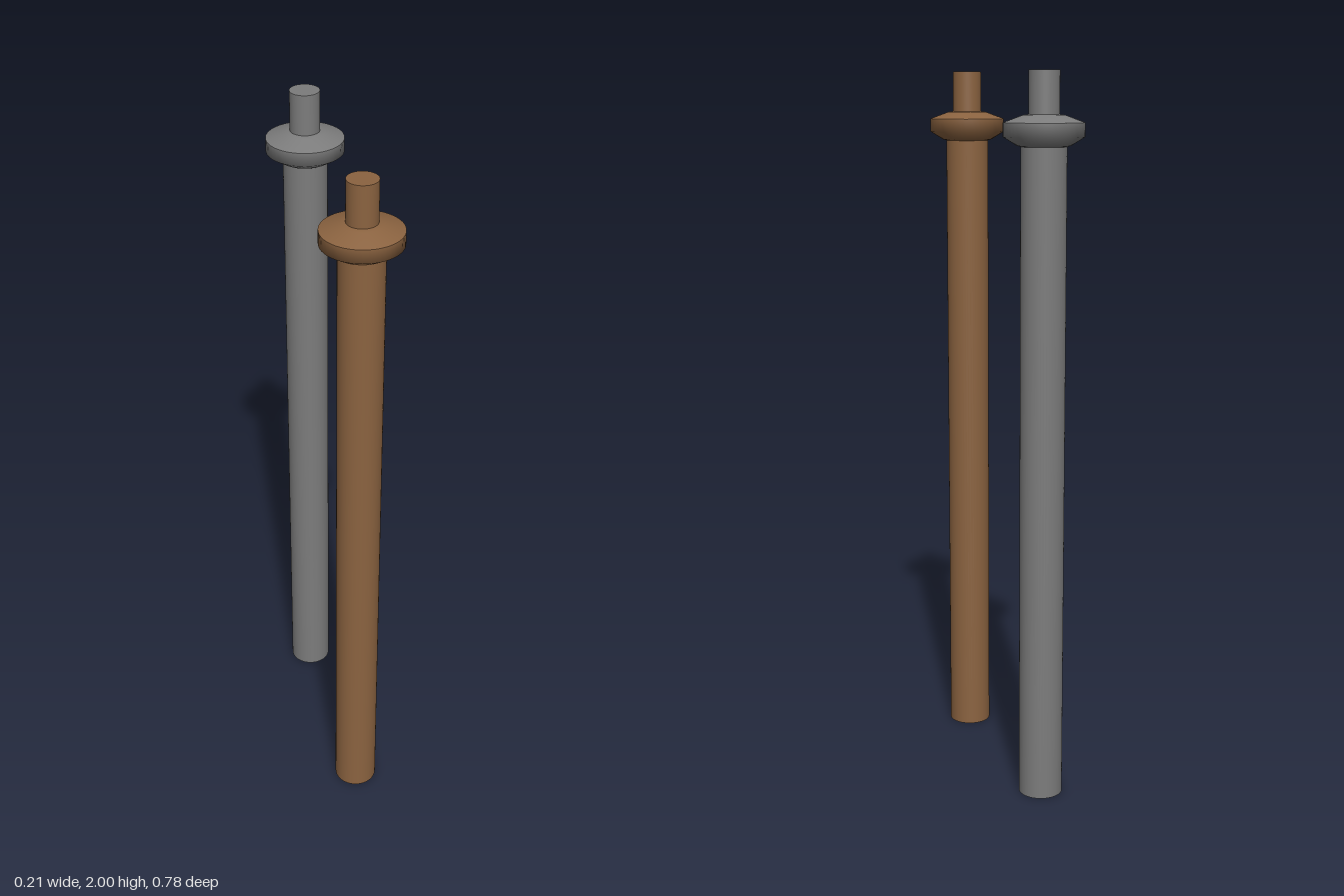
import * as THREE from 'three';

// Lathe runs from bottom to top; each run is smooth, edges between runs are sharp
const runs = {
  shaft: [[0.061, 0], [0.061, 1.805]],
  collarUnderside: [[0.061, 1.805], [0.072, 1.808], [0.107, 1.83], [0.107, 1.867]],
  collarTop: [[0.107, 1.867], [0.055, 1.886], [0.041, 1.888]],
  pin: [[0.041, 1.886], [0.041, 2]],
  pinCap: [[0.041, 2], [0, 2]],
  footCap: [[0, 0], [0.061, 0]],
};

function createPost(name, color, z) {
  const post = new THREE.Group();
  post.name = name;
  post.position.z = z;
  const material = new THREE.MeshStandardMaterial({ color });
  for (const [part, points] of Object.entries(runs)) {
    const profile = points.map(([r, y]) => new THREE.Vector2(r, y));
    const mesh = new THREE.Mesh(new THREE.LatheGeometry(profile, 48), material);
    mesh.name = part;
    post.add(mesh);
  }
  return post;
}

export function createModel() {
  const model = new THREE.Group();
  model.name = 'postPair';
  // Wooden post in front, metal post behind
  model.add(createPost('woodenPost', 0x8b6340, 0.281));
  model.add(createPost('metalPost', 0x7c7c7c, -0.281));
  return model;
}
